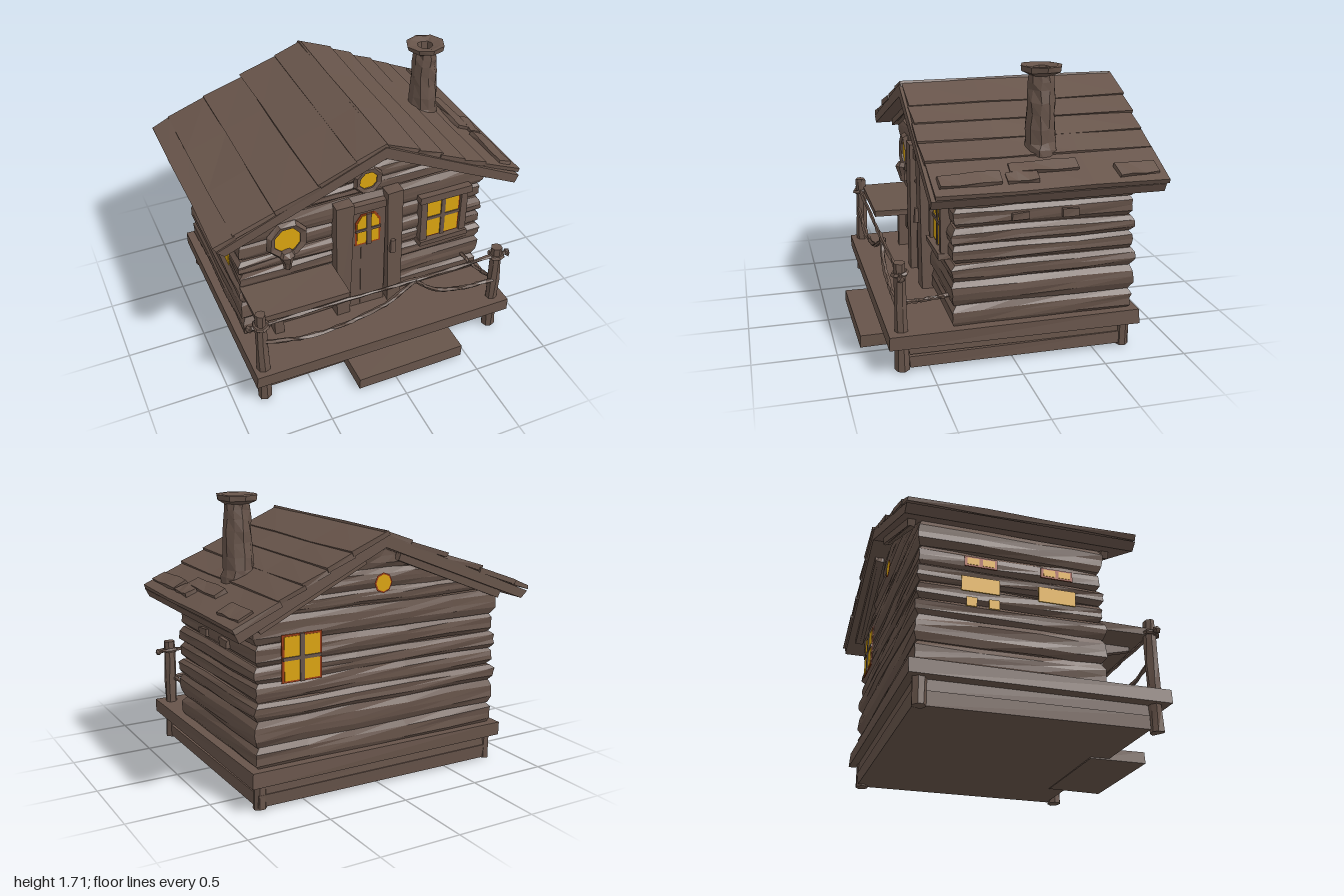
import * as THREE from 'three';

const mat = (name, color) => Object.assign(new THREE.MeshStandardMaterial({ color }), { name });

export function createModel() {
  const wood = mat('brown wood', 0x67544a);
  const glow = mat('amber glass', 0xd9a30f);
  const rust = mat('rust reveal', 0x9a3d17);
  const root = new THREE.Group();
  root.name = 'cabin';

  // repeatable noise from a position, so shared corners stay joined
  const noise = (x, y, z, s) => {
    const v = Math.sin(x * 127.1 + y * 311.7 + z * 74.7 + s * 53.3) * 43758.5453;
    return (v - Math.floor(v)) * 2 - 1;
  };
  const warp = (geo, fn) => {
    const p = geo.attributes.position, v = new THREE.Vector3();
    for (let i = 0; i < p.count; i++) {
      fn(v.fromBufferAttribute(p, i));
      p.setXYZ(i, v.x, v.y, v.z);
    }
    return geo;
  };
  let seed = 1;
  const rough = (geo, amt) => {
    const s = seed++;
    const r = (n) => Math.round(n * 1000) / 1000 + 0;
    return warp(geo, (v) => {
      const [x, y, z] = [r(v.x), r(v.y), r(v.z)];
      v.x += amt * noise(x, y, z, s);
      v.y += amt * noise(y, z, x, s + 9);
      v.z += amt * noise(z, x, y, s + 17);
    });
  };
  const facet = (geo) => {
    const g = geo.index ? geo.toNonIndexed() : geo;
    g.computeVertexNormals();
    return g;
  };
  const add = (name, geo, m = wood, parent = root) => {
    const mesh = new THREE.Mesh(facet(geo), m);
    mesh.name = name;
    parent.add(mesh);
    return mesh;
  };
  // box given by its limits
  const box = (name, x0, x1, y0, y1, z0, z1, amt = 0, m = wood, parent = root) => {
    const mesh = add(name, rough(new THREE.BoxGeometry(x1 - x0, y1 - y0, z1 - z0), amt), m, parent);
    mesh.position.set((x0 + x1) / 2, (y0 + y1) / 2, (z0 + z1) / 2);
    return mesh;
  };
  const tube = (name, pts, r) => add(name, rough(new THREE.TubeGeometry(
    new THREE.CatmullRomCurve3(pts.map((p) => new THREE.Vector3(...p))), 22, r, 5), 0.004));

  // foundation, deck and step
  box('foundation', -0.81, 0.8, 0.01, 0.09, -0.72, 0.62, 0.006);
  box('foundationUpper', -0.8, 0.79, 0.09, 0.17, -0.715, 0.62, 0.006);
  box('deck', -0.87, 0.855, 0.16, 0.24, -0.765, 0.74, 0.006);
  box('step', -0.25, 0.46, 0.005, 0.08, 0.5, 0.855, 0.006);

  // stacked wall courses with a bulging middle; the upper ones narrow to the gable
  const RX = 0.05, RY = 1.45;
  const courses = [0.23, 0.37, 0.52, 0.62, 0.73, 0.83, 0.95, 1.1, 1.19, 1.3, 1.44];
  for (let i = 0; i < courses.length - 1; i++) {
    const y0 = courses[i], y1 = courses[i + 1], e = 0.01 * noise(i, 2, 3, 4);
    const geo = new THREE.BoxGeometry(1, 1, 1, 5, 4, 4);
    const isMid = (t) => Math.abs(t) < 0.3;
    warp(geo, (v) => {
      const out = (isMid(v.y) ? 0.018 : 0) + e;
      const y = y0 + (v.y + 0.5) * (y1 - y0);
      const left = Math.max(-0.8, RX - (RY - y) / 0.4), right = Math.min(0.785, RX + (RY - y) / 0.46);
      v.x = left + (v.x + 0.5) * (right - left) + Math.sign(v.x) * (y < 1.11 ? out * 1.3 : 0);
      v.z = v.z > 0 ? v.z * 0.69 + out : v.z * 1.41 - out;
      v.y = y;
    });
    add('wallCourse', rough(geo, 0.006));
  }

  // roof slab
  const chevron = new THREE.Shape([[-0.985, 1.09], [-0.94, 1.05], [RX, 1.44], [0.95, 1.01], [0.975, 1.06], [RX, 1.515]]
    .map((p) => new THREE.Vector2(...p)));
  add('roofSlab', new THREE.ExtrudeGeometry(chevron, { depth: 1.35, bevelEnabled: false })).position.z = -0.835;

  // overlapping roof boards on each slope
  const slopes = [
    { end: [-0.995, 1.11], cuts: [0, 0.17, 0.4, 0.65, 0.89, 1] },
    { end: [0.985, 1.075], cuts: [0, 0.24, 0.4, 0.56, 0.72, 1] },
  ].map((s) => {
    const dx = s.end[0] - RX, dy = s.end[1] - 1.525;
    return { ...s, dx, dy, len: Math.hypot(dx, dy), side: Math.sign(dx) };
  });
  const onSlope = (s, name, t0, t1, z0, z1, lift, tilt, thick) => {
    const t = (t0 + t1) / 2;
    const m = add(name, rough(new THREE.BoxGeometry((t1 - t0) * s.len, thick, z1 - z0, 1, 1, 3), 0.005));
    m.position.set(RX + s.dx * t, 1.525 + s.dy * t + lift, (z0 + z1) / 2);
    m.rotation.z = Math.atan2(s.dy * s.side, s.dx * s.side) + tilt * s.side;
    return m;
  };
  slopes.forEach((s) => {
    for (let i = 0; i < 5; i++) {
      const k = noise(i, s.side, 1, 7) * 0.015;
      onSlope(s, 'roofBoard', s.cuts[i] - 0.012, s.cuts[i + 1], -0.84 + k, 0.505 + k, -0.002, 0.045, 0.03);
    }
    // bargeboards below the overhang, front and back
    [0.375, -0.79].forEach((z) => onSlope(s, 'bargeboard', 0.12, 0.82, z, z + 0.05, -0.1, 0, 0.05));
  });
  // loose patch boards on the right slope
  [[0.86, 0.96, -0.8, -0.56], [0.86, 0.95, 0.11, 0.46], [0.8, 0.88, -0.35, 0.05], [0.88, 0.95, -0.1, 0.08]]
    .forEach(([a, b, c, d], i) => {
      onSlope(slopes[1], 'patchBoard', a, b, c, d, 0.025, 0.02, 0.025).rotation.y = 0.06 * noise(i, 1, 2, 3);
    });

  // chimney with flared hollow cap
  const lathe = (pts, n) => new THREE.LatheGeometry(pts.map((p) => new THREE.Vector2(...p)), n);
  const chimney = new THREE.Group();
  chimney.name = 'chimney';
  chimney.position.set(0.65, 0, -0.19);
  root.add(chimney);
  add('chimneyStack', rough(lathe([[0.1, 1.12], [0.1, 1.23], [0.088, 1.27], [0.09, 1.35], [0.083, 1.43],
    [0.084, 1.5], [0.076, 1.57], [0.077, 1.62], [0.074, 1.67]], 10), 0.006), wood, chimney);
  add('chimneyCap', rough(lathe([[0.07, 1.65], [0.118, 1.675], [0.124, 1.705], [0.1, 1.708],
    [0.05, 1.695], [0.042, 1.6], [0, 1.6]], 8), 0.003), wood, chimney);

  // door with leaning jambs
  box('door', -0.13, 0.12, 0.24, 1.0, 0.33, 0.39, 0.003);
  box('doorSeam', -0.045, -0.04, 0.25, 0.72, 0.36, 0.394);
  box('doorLintel', -0.14, 0.14, 1.0, 1.06, 0.33, 0.405, 0.004);
  [[-0.165, 1.09, 1], [0.165, 1.11, -1]].forEach(([x, top, side]) => {
    const j = box('doorJamb', x - 0.055, x + 0.055, 0.24, top, 0.33, 0.43, 0.005);
    warp(j.geometry, (v) => { if (v.y < 0) { v.x = v.x * 0.8 - side * 0.015; } });
    j.geometry.computeVertexNormals();
  });
  const handle = add('doorHandle', rough(new THREE.CylinderGeometry(0.015, 0.025, 0.09, 6), 0.004));
  handle.position.set(0.15, 0.71, 0.44);
  const arch = (w, h) => {
    const s = new THREE.Shape();
    s.moveTo(-w, 0); s.lineTo(w, 0); s.lineTo(w, h * 0.75); s.lineTo(w * 0.55, h);
    s.lineTo(-w * 0.55, h); s.lineTo(-w, h * 0.75);
    return new THREE.ExtrudeGeometry(s, { depth: 0.006, bevelEnabled: false });
  };
  add('doorWindowReveal', arch(0.085, 0.235), rust).position.set(0, 0.745, 0.388);
  add('doorWindowGlass', arch(0.072, 0.21), glow).position.set(0, 0.757, 0.391);
  box('doorWindowBar', -0.012, 0.02, 0.745, 0.98, 0.39, 0.405, 0.002);
  box('doorWindowCrossbar', -0.085, 0.085, 0.85, 0.87, 0.39, 0.403, 0.002);

  // four-pane window; the front one has a heavy frame
  const paneWindow = (name, x, y, z, back) => {
    const g = new THREE.Group();
    g.name = name;
    root.add(g);
    box('reveal', -0.125, 0.125, -0.155, 0.155, 0, 0.007, 0, rust, g);
    for (const sx of [-1, 1]) {
      for (const sy of [-1, 1]) {
        const p = box('pane', -0.047, 0.047, -0.065, 0.065, 0, 0.005, 0, glow, g);
        p.position.set(sx * 0.063, sy * 0.077, 0.008);
      }
      if (!back) box('frameSide', sx * 0.14 - 0.022, sx * 0.14 + 0.022, -0.16, 0.16, -0.03, 0.03, 0.003, wood, g);
    }
    box('mullion', -0.014, 0.014, -0.155, 0.155, 0, 0.016, 0, wood, g);
    box('transom', -0.12, 0.12, -0.011, 0.011, 0, 0.016, 0, wood, g);
    if (!back) {
      box('frameTop', -0.18, 0.18, 0.15, 0.195, -0.03, 0.045, 0.004, wood, g);
      box('sill', -0.17, 0.17, -0.185, -0.15, -0.03, 0.045, 0.004, wood, g);
    }
    g.position.set(x, y, z);
    if (back) { g.rotation.y = Math.PI; g.scale.y = 0.88; }
  };
  paneWindow('frontWindow', 0.525, 0.8, 0.378, false);
  paneWindow('backWindow', 0.53, 0.86, -0.733, true);

  // round windows
  const roundWindow = (x, y, r, tubeR) => {
    const ring = add('roundFrame', rough(new THREE.TorusGeometry(r, tubeR, 5, 8), 0.004));
    ring.position.set(x, y, 0.38);
    ring.rotation.z = Math.PI / 8;
    add('roundGlass', new THREE.CircleGeometry(r, 8), glow).position.set(x, y, 0.384);
  };
  roundWindow(-0.52, 0.935, 0.11, 0.027);
  roundWindow(0, 1.22, 0.078, 0.023);
  const backRound = add('backRoundGlass', new THREE.CircleGeometry(0.05, 8), glow);
  const backReveal = add('backRoundReveal', new THREE.CircleGeometry(0.06, 8), rust);
  backRound.position.set(0, 1.22, -0.738);
  backReveal.position.set(0, 1.22, -0.735);
  backRound.rotation.y = backReveal.rotation.y = Math.PI;
  const knot = add('hangingKnot', rough(lathe([[0, -0.07], [0.022, -0.065], [0.03, -0.02], [0.05, 0.04], [0.03, 0.07], [0, 0.07]], 7), 0.005));
  knot.position.set(-0.53, 0.795, 0.4);

  // side wall slots and glowing gaps
  [-0.03, -0.33].forEach((z) => box('rightSlot', 0.78, 0.822, 0.86, 0.905, z - 0.05, z + 0.05, 0.004));
  [-0.37, 0.08].forEach((z) => {
    box('sideReveal', -0.838, -0.831, 0.845, 0.905, z - 0.095, z + 0.095, 0, rust);
    [-1, 1].forEach((s) => box('sidePane', -0.841, -0.835, 0.855, 0.895, z + s * 0.045 - 0.035, z + s * 0.045 + 0.035, 0, glow));
    box('sideGap', -0.838, -0.831, 0.69, 0.78, z - 0.11, z + 0.11, 0, glow);
  });
  [-0.42, -0.29].forEach((z) => box('sideGapSmall', -0.838, -0.831, 0.6, 0.655, z - 0.03, z + 0.03, 0, glow));

  // porch posts and back corner stubs
  [[-0.805, 0.68], [0.775, 0.66]].forEach(([x, top]) => {
    const post = add('porchPost', rough(new THREE.CylinderGeometry(0.035, 0.043, top, 7, 5), 0.005));
    post.position.set(x, top / 2, 0.66);
    const wrap = add('ropeWrap', rough(new THREE.TorusGeometry(0.042, 0.014, 5, 8), 0.003));
    wrap.position.set(x, 0.595, 0.66);
    wrap.rotation.x = Math.PI / 2 + 0.15;
    const stub = add('cornerStub', rough(new THREE.CylinderGeometry(0.04, 0.04, 0.17, 7), 0.004));
    stub.position.set(x, 0.087, -0.69);
  });

  // rail, hanging ropes and knots
  tube('rail', [[-0.89, 0.595, 0.665], [-0.3, 0.6, 0.67], [0.3, 0.595, 0.67], [0.86, 0.595, 0.665]], 0.013);
  tube('leftRope', [[-0.79, 0.47, 0.68], [-0.55, 0.41, 0.68], [-0.3, 0.41, 0.68], [0, 0.48, 0.68], [0.2, 0.585, 0.67]], 0.014);
  tube('rightRope', [[0.2, 0.585, 0.67], [0.33, 0.48, 0.68], [0.5, 0.42, 0.68], [0.76, 0.4, 0.68]], 0.014);
  tube('sideRope', [[0.76, 0.41, 0.66], [0.72, 0.395, 0.5], [0.7, 0.4, 0.35]], 0.013);
  [[-0.88, 0.595], [0.85, 0.59], [0.2, 0.585]].forEach(([x, y]) =>
    add('ropeKnot', rough(new THREE.IcosahedronGeometry(0.024), 0.004)).position.set(x, y, 0.665));

  // porch table
  box('tableTop', -0.82, -0.23, 0.585, 0.625, 0.34, 0.645, 0.005);
  box('tableLeg', -0.64, -0.585, 0.24, 0.59, 0.365, 0.43, 0.004);
  box('tableBracket', -0.33, -0.275, 0.47, 0.59, 0.34, 0.43, 0.006);
  const brace = box('tableBrace', -0.63, -0.59, 0.5, 0.585, 0.36, 0.61, 0);
  warp(brace.geometry, (v) => { if (v.z > 0 && v.y < 0) v.y = 0.02; });
  brace.geometry.computeVertexNormals();

  return root;
}
